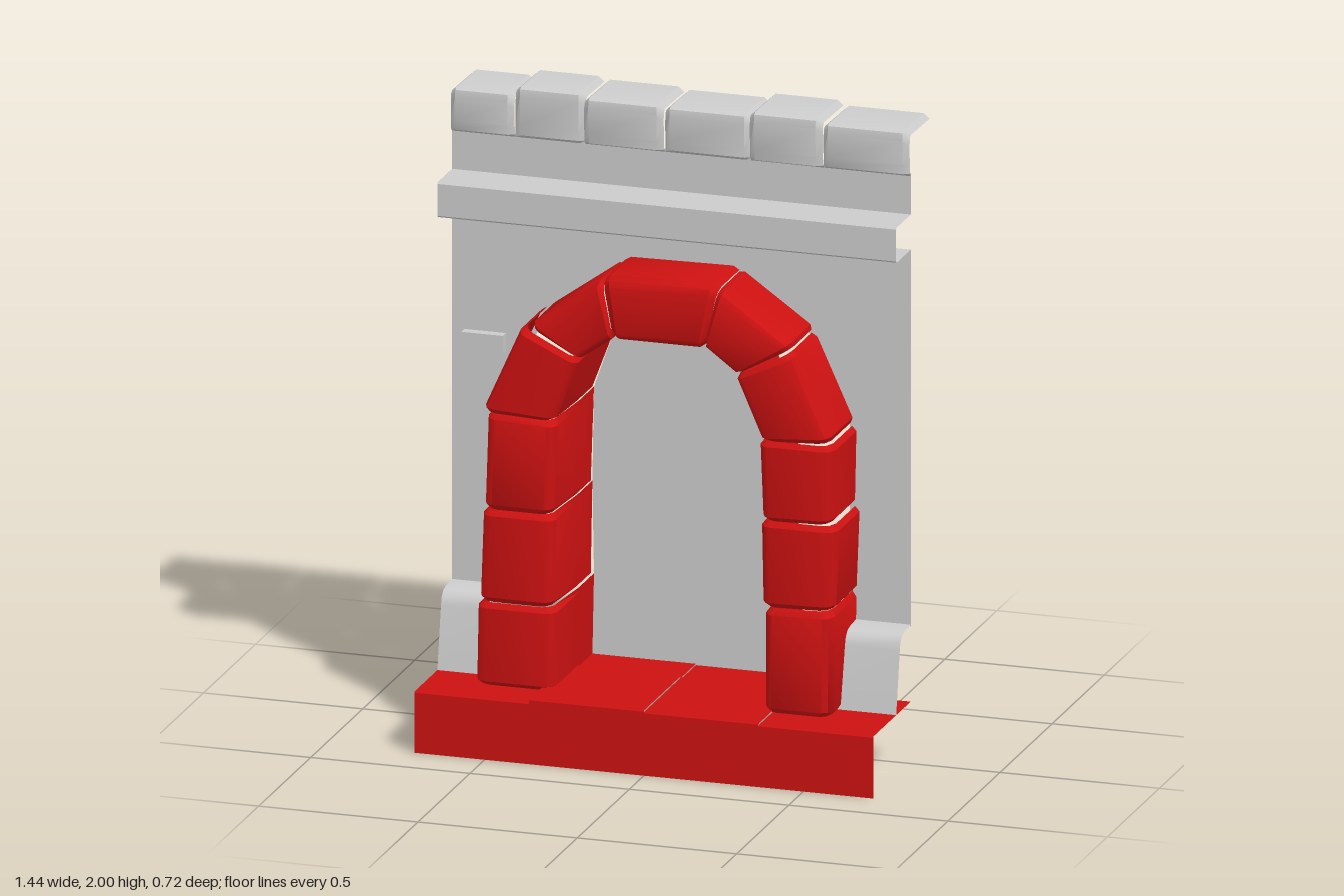
import * as THREE from 'three';
import { toCreasedNormals } from 'three/addons/utils/BufferGeometryUtils.js';

const grey = new THREE.MeshStandardMaterial({ color: 0xcccccc, side: THREE.DoubleSide });
const red = new THREE.MeshStandardMaterial({ color: 0xcc1111, side: THREE.DoubleSide });

// Open skin stretched over a list of cross-sections (each a list of [x, y, z])
function loft(sections) {
  const n = sections[0].length, index = [];
  for (let i = 0; i < sections.length - 1; i++) {
    for (let j = 0; j < n - 1; j++) {
      const a = i * n + j, d = a + n;
      index.push(a, d, d + 1, a, d + 1, a + 1);
    }
  }
  const g = new THREE.BufferGeometry();
  g.setAttribute('position', new THREE.Float32BufferAttribute(sections.flat(2), 3));
  g.setIndex(index);
  return toCreasedNormals(g, 0.7);
}

// Profile of [z, y] points carried from x0 to x1
const sweepX = (profile, x0, x1) =>
  loft([x0, x1].map(x => profile.map(([z, y]) => [x, y, z])));

function add(parent, name, geometry, material) {
  const mesh = new THREE.Mesh(geometry, material);
  mesh.name = name;
  parent.add(mesh);
  return mesh;
}

function addGroup(parent, name) {
  const group = new THREE.Group();
  group.name = name;
  parent.add(group);
  return group;
}

// Arch stones, clockwise from the lower left: outer start, outer end, inner start, inner end, front z
const STONES = [
  [[-0.575, 0.19], [-0.57, 0.45], [-0.325, 0.19], [-0.32, 0.45], 0.24],
  [[-0.565, 0.45], [-0.555, 0.74], [-0.33, 0.45], [-0.325, 0.74], 0.235],
  [[-0.55, 0.74], [-0.54, 1.045], [-0.33, 0.74], [-0.32, 1.035], 0.235],
  [[-0.555, 1.045], [-0.43, 1.325], [-0.325, 1.035], [-0.25, 1.235], 0.24],
  [[-0.41, 1.325], [-0.18, 1.49], [-0.25, 1.235], [-0.145, 1.31], 0.23],
  [[-0.18, 1.5], [0.185, 1.505], [-0.145, 1.305], [0.14, 1.305], 0.225],
  [[0.185, 1.5], [0.42, 1.335], [0.14, 1.31], [0.24, 1.235], 0.225],
  [[0.42, 1.325], [0.545, 1.05], [0.24, 1.235], [0.325, 1.04], 0.24],
  [[0.55, 1.04], [0.545, 0.795], [0.315, 1.04], [0.325, 0.79], 0.235],
  [[0.56, 0.79], [0.55, 0.525], [0.32, 0.79], [0.325, 0.52], 0.235],
  [[0.55, 0.525], [0.545, 0.19], [0.335, 0.52], [0.335, 0.19], 0.24],
];

// One rounded stone: deep inner reveal, bevelled front, short outer side
function stoneGeometry([outA, outB, inA, inB, front]) {
  const mix = (a, b, t) => [a[0] + (b[0] - a[0]) * t, a[1] + (b[1] - a[1]) * t];
  const section = (t, pinch) => {
    const inner = mix(inA, inB, t), outer = mix(outA, outB, t);
    const at = (s, z) => [...mix(inner, outer, s), z];
    const f = front - pinch * 0.25;
    return [
      at(0, -0.14), at(0, 0), at(pinch, f - 0.03), at(0.05 + pinch, f - 0.008), at(0.12 + pinch, f),
      at(0.86 - pinch, f), at(0.95 - pinch, f - 0.01), at(1 - pinch, f - 0.04), at(1 - pinch, 0),
    ];
  };
  return loft([section(0, 0.06), section(0.06, 0), section(0.94, 0), section(1, 0.06)]);
}

function flatShape(points) {
  return new THREE.ShapeGeometry(new THREE.Shape(points.map(p => new THREE.Vector2(...p))));
}

export function createModel() {
  const model = new THREE.Group();
  model.name = 'archedDoorway';

  // Step: front tiles with their riser, and two tiles behind the doorway
  const step = addGroup(model, 'step');
  [0.192, 0.204, 0.199, 0.194].forEach((y, i) => {
    const x = -0.72 + i * 0.36;
    add(step, 'frontTile', sweepX([[0.36, 0], [0.36, y - 0.004], [0.356, y], [0, y]], x, x + 0.36), red);
  });
  [-0.36, 0].forEach((x, i) => {
    const y = 0.198 - i * 0.004;
    add(step, 'backTile', sweepX([[0, y], [-0.36, y]], x, x + 0.36), red);
  });

  // Wall, opened along the outside of the arch
  const opening = [[-0.54, 0.43], [-0.535, 1.04], [-0.42, 1.31], [-0.18, 1.48],
    [0.18, 1.48], [0.41, 1.31], [0.53, 1.04], [0.53, 0.43]];
  add(model, 'wall', flatShape([[-0.72, 0.43], ...opening, [0.72, 0.43], [0.72, 1.61], [-0.72, 1.61]]), grey);

  // Small proud brick in the wall
  const brick = add(model, 'wallBrick', new THREE.BoxGeometry(0.13, 0.055, 0.03), grey);
  brick.position.set(-0.615, 1.195, 0.016);

  // Flared skirting on each side
  const skirt = [[0.14, 0.19], [0.105, 0.385], [0.098, 0.41], [0.08, 0.427], [0.05, 0.433], [0, 0.435]];
  for (const [x0, x1] of [[-0.72, -0.53], [0.53, 0.72]]) {
    add(model, 'skirting', sweepX(skirt, x0, x1), grey);
  }

  // Ledge and the band of wall above it
  add(model, 'ledge', sweepX([[0, 1.61], [0.135, 1.61], [0.14, 1.615], [0.14, 1.715], [0.135, 1.72], [0, 1.72]],
    -0.72, 0.72), grey);
  add(model, 'upperWall', sweepX([[0, 1.72], [0, 1.85]], -0.72, 0.72), grey);

  // Coping stones, pinched at their joints
  const coping = addGroup(model, 'coping');
  const joints = [-0.72, -0.52, -0.3, -0.05, 0.22, 0.45, 0.72];
  const tops = [1.982, 2, 1.992, 1.985, 2, 1.985];
  const fronts = [0.027, 0.016, 0.033, 0.018, 0.034, 0.027];
  tops.forEach((top, i) => {
    const x0 = joints[i], x1 = joints[i + 1];
    const section = (x, inset) => {
      const f = fronts[i] - inset, y = top - inset;
      return [[0, 1.84], [f * 0.7, 1.85], [f * 0.85, 1.88], [f, y - 0.03], [f - 0.004, y - 0.006],
        [f - 0.014, y], [-0.18, y - 0.004]].map(([z, h]) => [x, h, z]);
    };
    add(coping, 'copingStone',
      loft([section(x0, 0.016), section(x0 + 0.018, 0), section(x1 - 0.018, 0), section(x1, 0.016)]), grey);
  });

  // Arch of stones
  const arch = addGroup(model, 'arch');
  STONES.forEach(s => add(arch, 'archStone', stoneGeometry(s), red));

  // Panel closing the doorway at the back of the reveal
  const inner = [[-0.325, 0.19], ...STONES.map(s => s[3])];
  add(model, 'doorPanel', flatShape(inner), grey).position.z = -0.14;

  return model;
}
